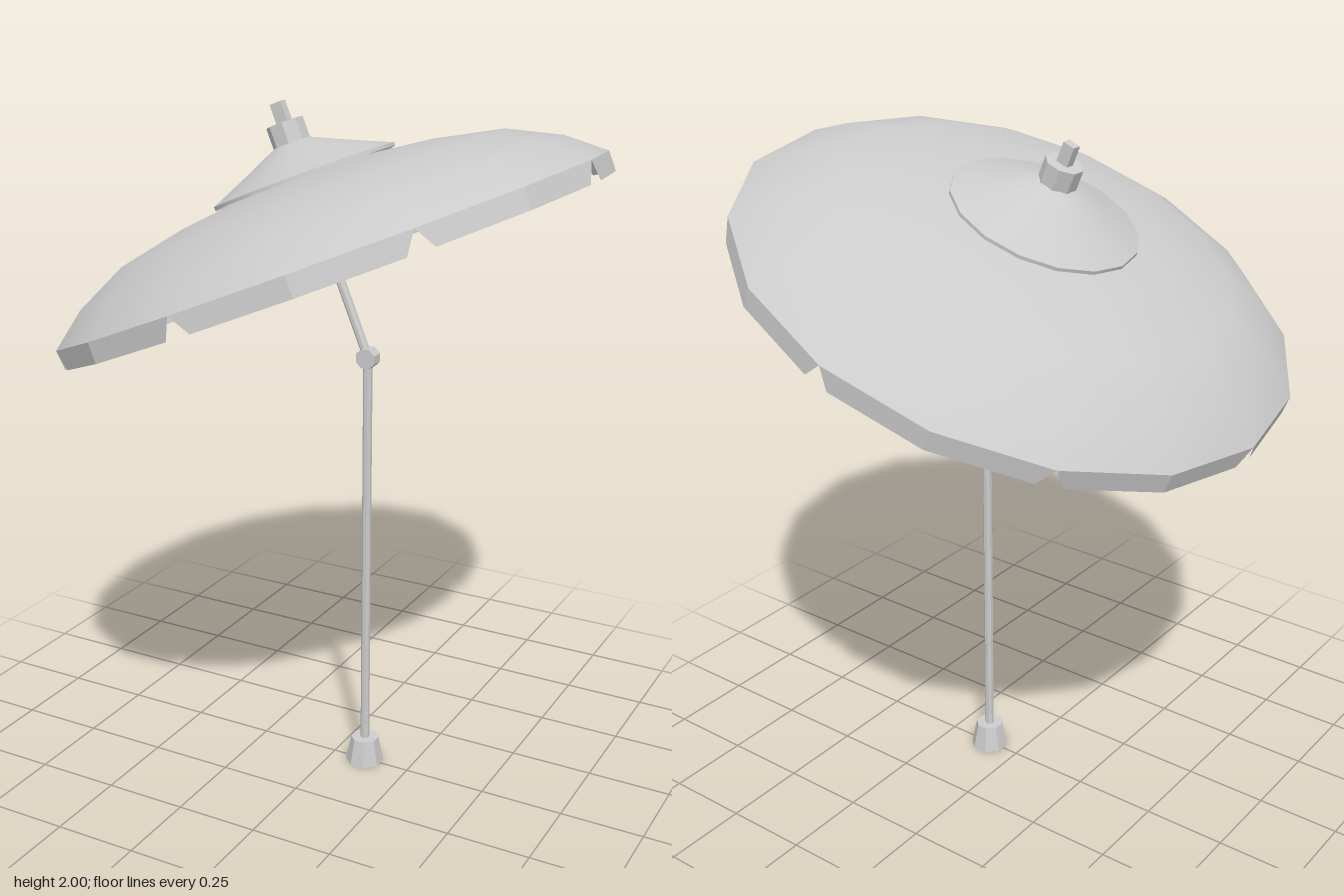
import * as THREE from 'three';

const mat = (flat) => new THREE.MeshStandardMaterial({
  color: 0xcccccc, flatShading: flat, side: THREE.DoubleSide,
});

function add(parent, name, geometry, y = 0, flat = true) {
  const mesh = new THREE.Mesh(geometry, mat(flat));
  mesh.name = name;
  mesh.position.y = y;
  parent.add(mesh);
  return mesh;
}

// Upright prism or frustum with flat sides facing the axes
function prism(rTop, rBottom, height, sides = 8) {
  return new THREE.CylinderGeometry(rTop, rBottom, height, sides).rotateY(Math.PI / sides);
}

function lathe(profile) {
  return new THREE.LatheGeometry(profile.map(([r, y]) => new THREE.Vector2(r, y)), 16);
}

const RIM = 0.81, RIM_Y = 0.32, HEM_Y = 0.262, NOTCH = 0.12;

// Hanging flaps: eight two-sided panels, cut back at their lower ends to leave V notches
function valanceGeometry() {
  const pos = [], index = [];
  for (let i = 0; i < 8; i++) {
    const top = [0, 1, 2].map((k) => {
      const a = (2 * i + k) * Math.PI / 8;
      return new THREE.Vector3(RIM * Math.sin(a), RIM_Y, RIM * Math.cos(a));
    });
    const bottom = [
      top[0].clone().lerp(top[1], NOTCH), top[1].clone(), top[2].clone().lerp(top[1], NOTCH),
    ];
    bottom.forEach((p) => { p.y = HEM_Y; });
    const b = i * 6;
    [...top, ...bottom].forEach((p) => pos.push(p.x, p.y, p.z));
    for (let k = 0; k < 2; k++) {
      index.push(b + k, b + k + 3, b + k + 4, b + k, b + k + 4, b + k + 1);
    }
  }
  const g = new THREE.BufferGeometry();
  g.setAttribute('position', new THREE.Float32BufferAttribute(pos, 3));
  g.setIndex(index);
  g.computeVertexNormals();
  return g;
}

export function createModel() {
  const model = new THREE.Group();
  model.name = 'tiltedParasol';

  // Upright stand
  const stand = new THREE.Group();
  stand.name = 'stand';
  stand.position.x = 0.105;
  model.add(stand);
  add(stand, 'foot', prism(0.042, 0.058, 0.08), 0.04);
  add(stand, 'lowerPole', prism(0.0135, 0.0135, 1.24), 0.68);
  add(stand, 'tiltJoint', prism(0.031, 0.031, 0.038).rotateX(Math.PI / 2), 1.3);

  // Everything above the joint leans towards -x
  const head = new THREE.Group();
  head.name = 'tiltedHead';
  head.position.y = 1.3;
  head.rotation.z = THREE.MathUtils.degToRad(22.5);
  stand.add(head);

  add(head, 'upperPole', prism(0.0135, 0.0135, 0.54), 0.27);
  add(head, 'canopy', lathe([
    [RIM, RIM_Y], [0.71, 0.4], [0.565, 0.471], [0.37, 0.512], [0.19, 0.533], [0, 0.54],
  ]), 0, false);
  add(head, 'valance', valanceGeometry());

  // Vent cap with a thin hem
  add(head, 'capHem', lathe([[0.268, 0.529], [0.268, 0.539]]), 0, false);
  add(head, 'ventCap', lathe([[0.268, 0.539], [0.15, 0.589], [0.05, 0.634], [0, 0.645]]), 0, false);

  // Finial
  add(head, 'finialNut', prism(0.054, 0.054, 0.075), 0.655);
  add(head, 'finialTip', new THREE.BoxGeometry(0.036, 0.07, 0.028), 0.715);

  return model;
}
